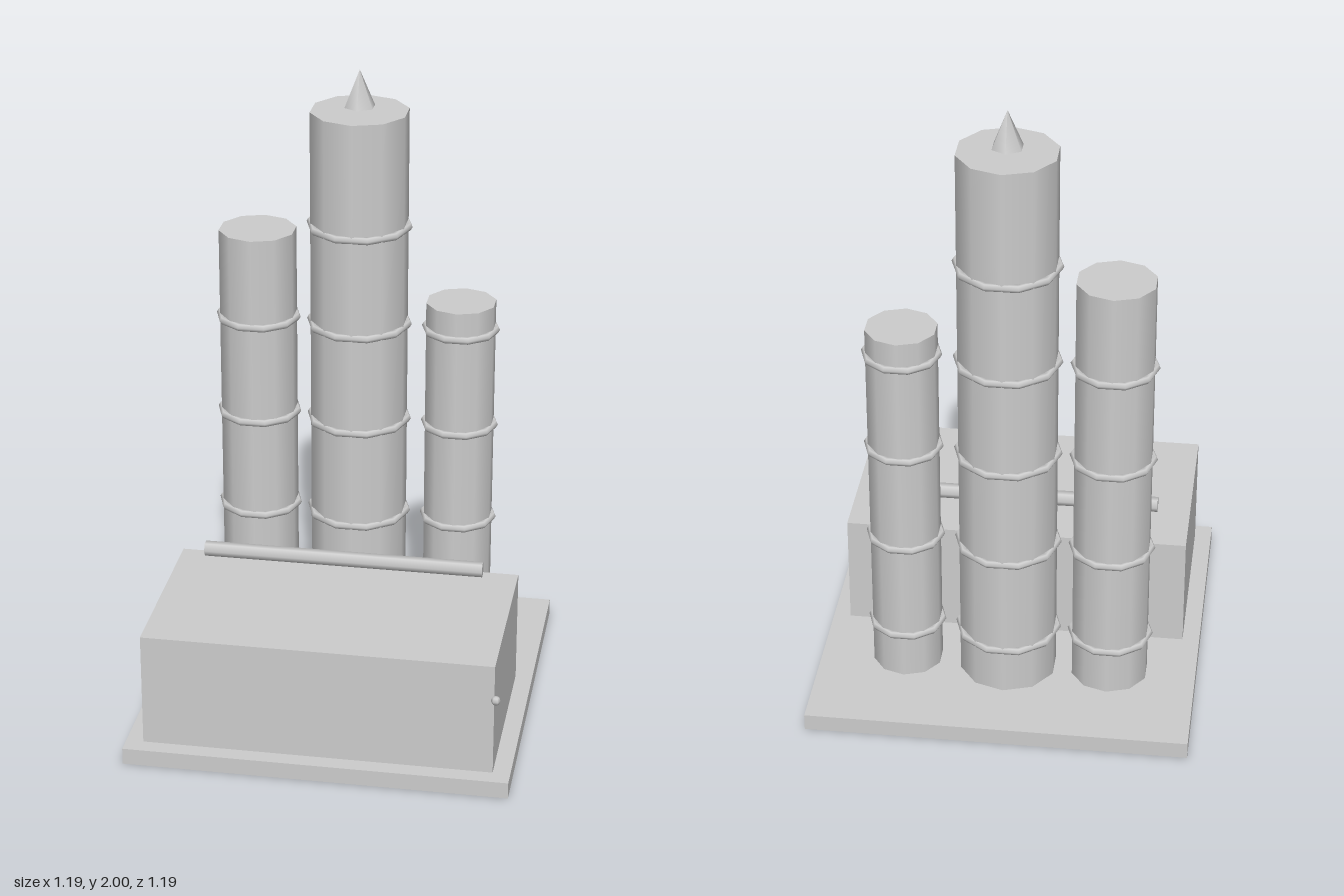
import * as THREE from 'three';

export function createModel() {
  const group = new THREE.Group();
  const grey = new THREE.MeshStandardMaterial({ color: 0xcccccc });
  grey.name = 'light grey';

  const add = (name, geometry, x, y, z, parent = group) => {
    const mesh = new THREE.Mesh(geometry, grey);
    mesh.name = name;
    mesh.position.set(x, y, z);
    parent.add(mesh);
    return mesh;
  };

  const floor = 0.053;  // top of the base slab
  const backZ = -0.242; // line on which the towers stand

  // Base slab and hall
  add('base', new THREE.BoxGeometry(1.194, floor, 1.194), 0, floor / 2, 0);
  add('hall', new THREE.BoxGeometry(1.086, 0.365, 0.603), 0, floor + 0.1825, 0.242);

  // Ten-sided towers with evenly spaced hoops
  const tower = (name, x, radius, top, hoops) => {
    const part = new THREE.Group();
    part.name = name;
    part.position.set(x, 0, backZ);
    group.add(part);
    const height = top - floor;
    add('column', new THREE.CylinderGeometry(radius, radius, height, 10), 0, floor + height / 2, 0, part);
    const hoop = new THREE.TorusGeometry(radius, 0.0125, 6, 10).rotateX(Math.PI / 2);
    for (let i = 0; i < hoops; i++) add('hoop', hoop, 0, 0.204 + i * 0.3245, 0, part);
  };
  tower('rightTower', -0.323, 0.1225, 1.467, 4);
  tower('middleTower', 0, 0.1545, 1.871, 5);
  tower('leftTower', 0.3225, 0.111, 1.265, 4);

  // Spike above the middle tower
  add('spike', new THREE.ConeGeometry(0.05, 0.117, 6), 0, 1.9415, backZ);

  // Pipe running across above the hall
  add('pipe', new THREE.CylinderGeometry(0.024, 0.024, 0.886, 6).rotateZ(Math.PI / 2), 0, 0.489, 0.06);

  // Small knob on the hall's front left corner
  add('knob', new THREE.SphereGeometry(0.015, 6, 4), 0.548, 0.307, 0.549);

  return group;
}
